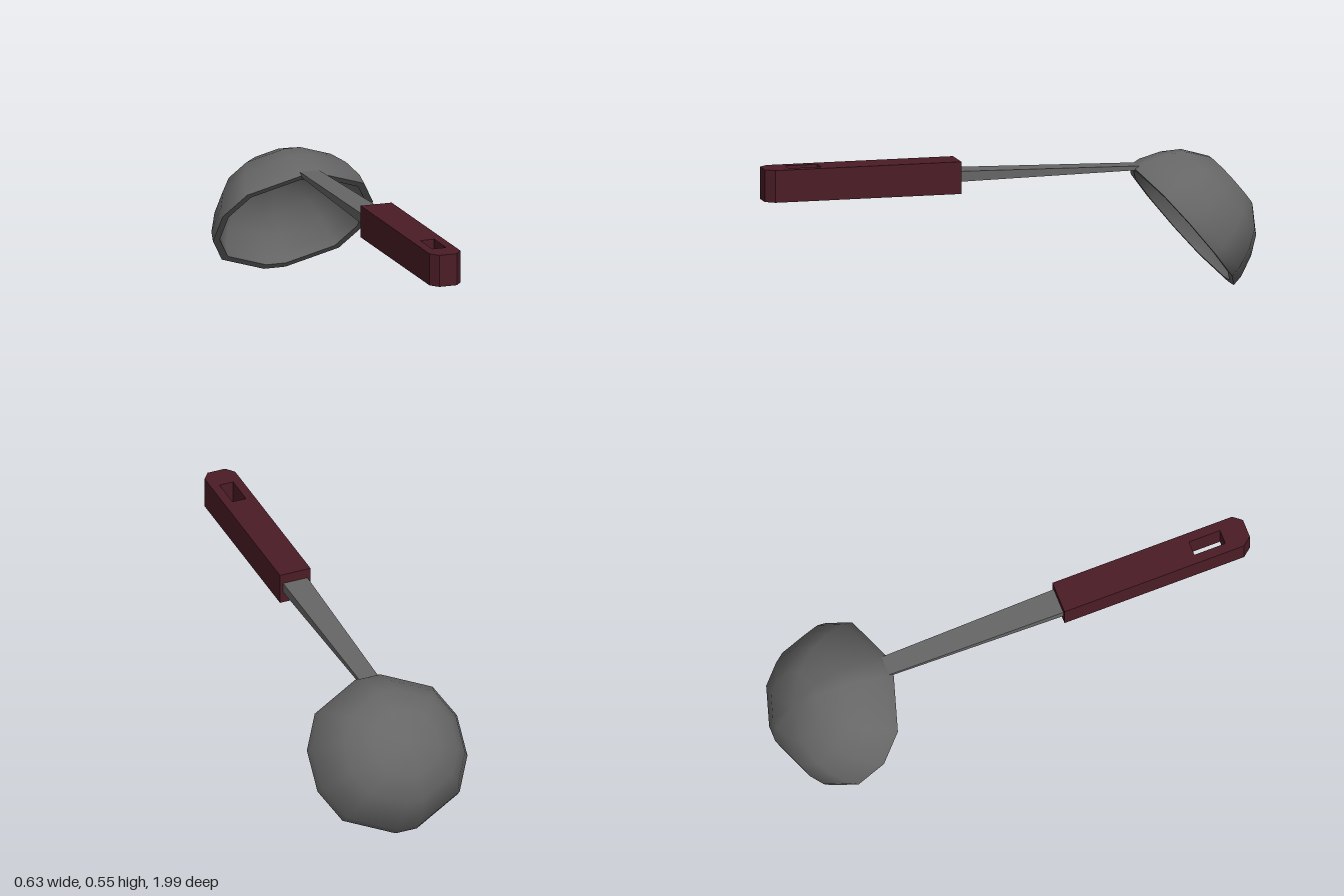
import * as THREE from 'three';

const steel = new THREE.MeshStandardMaterial({ color: 0x666666 });
const grip = new THREE.MeshStandardMaterial({ color: 0x4a1c26 });

// Twelve-sided rim outline, counter-clockwise, from one mirrored quarter
const quarter = [[0.315, 0.083], [0.245, 0.217], [0.045, 0.312]];
const half = [...quarter, ...quarter.map(([x, y]) => [-x, y]).reverse()];
const rim = [...half, ...half.map(([x, y]) => [-x, -y])];

// Dome cross-section: [scale of the rim outline, depth behind the rim]
const profile = [[1, 0], [0.98, 0.045], [0.87, 0.127], [0.72, 0.195], [0.42, 0.26]];
const THICKNESS = 0.915; // inner size relative to outer

// Smooth dome made from scaled rim outlines and closed at the crown
function domeGeometry(scale, inward) {
  const n = rim.length, positions = [], index = [];
  for (const [s, depth] of profile)
    for (const [x, y] of rim) positions.push(x * s * scale, y * s * scale, -depth * scale);
  const crown = positions.length / 3;
  positions.push(0, 0, -0.266 * scale);
  const tri = (a, b, c) => index.push(...(inward ? [a, c, b] : [a, b, c]));
  profile.forEach((_, i) => {
    for (let j = 0; j < n; j++) {
      const a = i * n + j, b = i * n + (j + 1) % n;
      if (i === profile.length - 1) tri(a, crown, b);
      else {
        tri(a, a + n, b);
        tri(b, a + n, b + n);
      }
    }
  });
  const g = new THREE.BufferGeometry();
  g.setAttribute('position', new THREE.Float32BufferAttribute(positions, 3));
  g.setIndex(index);
  g.computeVertexNormals();
  return g;
}

function add(parent, name, geometry, material) {
  const mesh = new THREE.Mesh(geometry, material);
  mesh.name = name;
  parent.add(mesh);
  return mesh;
}

const toPoints = (list, s = 1) => list.map(([x, y]) => new THREE.Vector2(x * s, y * s));

export function createModel() {
  const model = new THREE.Group();
  model.name = 'ladle';

  // Tilted bowl: outer shell, inner shell and flat lip
  const bowl = new THREE.Group();
  bowl.name = 'bowl';
  add(bowl, 'bowlOutside', domeGeometry(1, false), steel);
  add(bowl, 'bowlInside', domeGeometry(THICKNESS, true), steel);
  const lip = new THREE.Shape(toPoints(rim));
  lip.holes.push(new THREE.Path(toPoints(rim, THICKNESS).reverse()));
  add(bowl, 'bowlLip', new THREE.ShapeGeometry(lip), steel);
  bowl.position.set(0, 0.24, -0.7);
  bowl.rotation.x = Math.atan2(0.64, 0.768);
  model.add(bowl);

  // Flat shaft, narrowing and thinning towards the bowl
  const shaftGeometry = new THREE.BoxGeometry(1, 1, 1);
  const p = shaftGeometry.attributes.position;
  for (let i = 0; i < p.count; i++) {
    const atGrip = p.getZ(i) > 0;
    p.setXYZ(i,
      p.getX(i) * (atGrip ? 0.104 : 0.08),
      (atGrip ? 0.485 : 0.483) + p.getY(i) * (atGrip ? 0.042 : 0.016),
      atGrip ? 0.23 : -0.53);
  }
  shaftGeometry.computeVertexNormals();
  add(model, 'shaft', shaftGeometry, steel);

  // Grip with a chamfered end and a hanging slot
  const outline = new THREE.Shape(toPoints([
    [-0.065, 0.21], [0.065, 0.21], [0.065, 0.965], [0.037, 1], [-0.037, 1], [-0.065, 0.965],
  ]));
  outline.holes.push(new THREE.Path(toPoints([
    [-0.029, 0.77], [-0.029, 0.9], [0.029, 0.9], [0.029, 0.77],
  ])));
  const handle = add(model, 'handle',
    new THREE.ExtrudeGeometry(outline, { depth: 0.128, bevelEnabled: false }), grip);
  handle.rotation.x = Math.PI / 2;
  handle.position.y = 0.546;

  return model;
}
